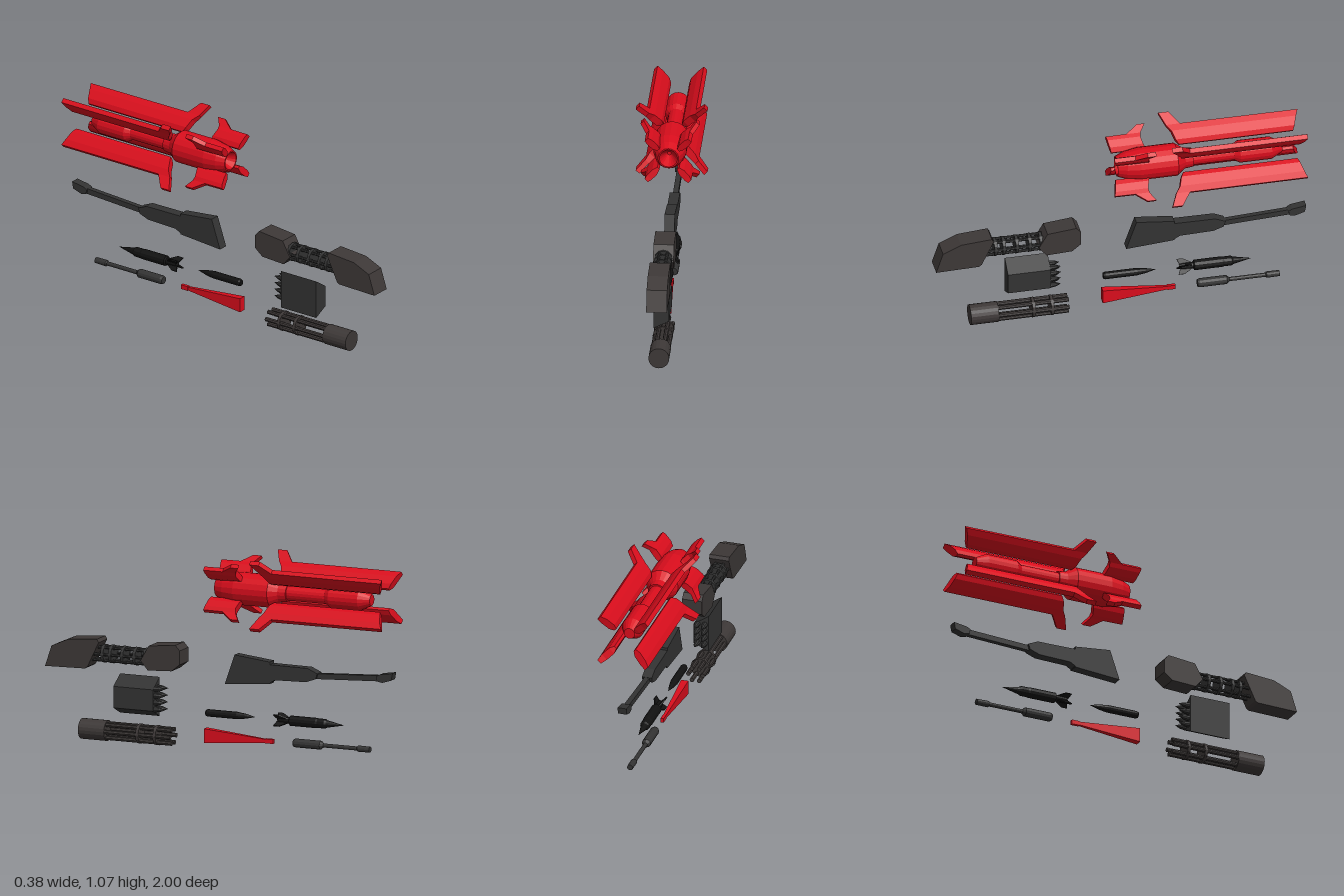
import * as THREE from 'three';

const mat = (color) => new THREE.MeshStandardMaterial({ color, flatShading: true, side: THREE.DoubleSide });
const red = mat(0xd90d1c), grey = mat(0x333333), warm = mat(0x3d3837), black = mat(0x111111);

function add(parent, name, geometry, material) {
  const mesh = new THREE.Mesh(geometry, material);
  mesh.name = name;
  parent.add(mesh);
  return mesh;
}

function group(parent, name, y = 0) {
  const g = new THREE.Group();
  g.name = name;
  g.position.y = y;
  parent.add(g);
  return g;
}

// Turned part along z from [z, radius] pairs with z ascending
function turned(profile, sides = 16) {
  const pts = profile.map(([z, r]) => new THREE.Vector2(r, z));
  return new THREE.LatheGeometry(pts, sides).rotateX(Math.PI / 2);
}

// Side profile of [z, y] pairs, given thickness across x
function slab(profile, width) {
  const shape = new THREE.Shape(profile.map(([z, y]) => new THREE.Vector2(-z, y)));
  return new THREE.ExtrudeGeometry(shape, { depth: width, bevelEnabled: false })
    .translate(0, 0, -width / 2).rotateY(Math.PI / 2);
}

// Closed skin over rings of [x, y, z] corners
function loft(rings) {
  const n = rings[0].length, last = rings.length - 1, index = [];
  for (let s = 0; s < last; s++) {
    for (let i = 0; i < n; i++) {
      const j = (i + 1) % n, a = s * n, b = a + n;
      index.push(a + i, a + j, b + j, a + i, b + j, b + i);
    }
  }
  for (let i = 1; i < n - 1; i++) {
    index.push(0, i + 1, i, last * n, last * n + i, last * n + i + 1);
  }
  const g = new THREE.BufferGeometry();
  g.setAttribute('position', new THREE.Float32BufferAttribute(rings.flat(2), 3));
  g.setIndex(index);
  const flat = g.toNonIndexed();
  flat.computeVertexNormals();
  return flat;
}

// Fin rising along y from sections [radius, half thickness, back z, front z]
const fin = (sections) => loft(sections.map(([r, h, z0, z1]) =>
  [[-h, r, z1], [h, r, z1], [h, r, z0], [-h, r, z0]]));

// Tapered bar along z from sections [z, half width, half height]
const bar = (sections) => loft(sections.map(([z, w, h]) =>
  [[w, -h, z], [w, h, z], [-w, h, z], [-w, -h, z]]));

// Ring of parallel barrels held by thin discs
function barrels(parent, count, ringR, rodR, z0, z1, discs, discR, material) {
  for (let i = 0; i < count; i++) {
    const a = (i / count) * Math.PI * 2;
    add(parent, 'barrel', turned([[z0, 0], [z0, rodR], [z1, rodR], [z1, 0]], 8), material)
      .position.set(Math.cos(a) * ringR, Math.sin(a) * ringR, 0);
  }
  for (const z of discs) {
    add(parent, 'barrelClamp', turned([[z - 0.008, 0], [z - 0.008, discR], [z + 0.008, discR], [z + 0.008, 0]], 12), material);
  }
}

function buildLargeMissile(root) {
  const g = group(root, 'largeMissile', 0.884);
  add(g, 'missileBody', turned([
    [-0.87, 0], [-0.87, 0.03], [-0.81, 0.06], [-0.64, 0.06], [-0.61, 0.042], [-0.39, 0.042],
    [-0.39, 0.05], [-0.345, 0.055], [-0.3, 0.088], [-0.1, 0.088], [-0.03, 0.075],
    [0.02, 0.055], [0.02, 0.048], [-0.06, 0.01], [-0.06, 0],
  ], 18), red);
  const longFin = fin([
    [0.075, 0.008, -0.945, -0.33], [0.1, 0.02, -0.955, -0.315], [0.15, 0.02, -0.97, -0.3],
    [0.185, 0.013, -0.985, -0.275], [0.186, 0.013, -0.35, -0.275], [0.255, 0.013, -0.3, -0.245],
  ]);
  const tailFin = fin([
    [0.073, 0.008, -0.15, 0.035], [0.1, 0.018, -0.14, 0.04], [0.14, 0.018, -0.13, 0.047],
    [0.162, 0.012, -0.135, 0.052], [0.163, 0.012, -0.135, -0.06], [0.208, 0.012, -0.165, -0.12],
  ]);
  for (let i = 0; i < 4; i++) {
    const a = Math.PI / 4 + i * Math.PI / 2;
    add(g, 'longFin', longFin, red).rotation.z = a;
    add(g, 'tailFin', tailFin, red).rotation.z = a;
  }
}

function buildRotaryGun(root) {
  const g = group(root, 'rotaryGun');
  add(g, 'rearHousing', slab([[1, 0.385], [0.963, 0.497], [0.866, 0.54], [0.7, 0.553],
    [0.69, 0.535], [0.755, 0.4], [0.77, 0.39]], 0.109), warm);
  add(g, 'frontHousing', slab([[0.405, 0.41], [0.447, 0.46], [0.4, 0.542], [0.245, 0.558],
    [0.22, 0.53], [0.22, 0.455], [0.267, 0.417]], 0.109), warm);
  const b = group(g, 'barrelCluster', 0.47);
  barrels(b, 6, 0.04, 0.008, 0.38, 0.76, [0.43, 0.49, 0.56, 0.63, 0.675], 0.05, grey);
}

function buildRifle(root) {
  const g = group(root, 'rifle');
  add(g, 'stock', slab([[-0.03, 0.37], [-0.085, 0.53], [-0.29, 0.508], [-0.29, 0.39]], 0.054), grey);
  add(g, 'receiver', slab([[-0.28, 0.39], [-0.28, 0.494], [-0.51, 0.492], [-0.565, 0.468],
    [-0.555, 0.438], [-0.5, 0.418], [-0.32, 0.413]], 0.054), grey);
  add(g, 'rifleBarrel', slab([[-0.54, 0.436], [-0.54, 0.465], [-0.92, 0.485], [-0.92, 0.455]], 0.028), grey);
  add(g, 'muzzle', slab([[-0.91, 0.456], [-0.905, 0.482], [-0.925, 0.493], [-1, 0.505],
    [-0.993, 0.467], [-0.94, 0.45]], 0.048), grey);
}

function buildMissilePod(root) {
  const g = group(root, 'missilePod');
  const shape = new THREE.Shape([[-0.042, 0.15], [0.041, 0.19], [0.041, 0.305], [-0.042, 0.36]]
    .map(([x, y]) => new THREE.Vector2(x, y)));
  add(g, 'podCasing', new THREE.ExtrudeGeometry(shape, { depth: 0.23, bevelEnabled: false })
    .translate(0, 0, 0.38), grey);
  const tip = turned([[0.32, 0], [0.35, 0.012], [0.38, 0.016]], 8);
  for (const x of [-0.02, 0.02]) {
    for (let i = 0; i < 4; i++) add(g, 'podWarhead', tip, grey).position.set(x, 0.197 + i * 0.037, 0);
  }
}

function buildGatling(root) {
  const g = group(root, 'gatling', 0.056);
  add(g, 'drum', turned([[0.66, 0], [0.66, 0.055], [0.81, 0.055], [0.81, 0]], 20), warm);
  barrels(g, 6, 0.04, 0.012, 0.28, 0.67, [0.37, 0.47], 0.054, warm);
}

function buildSmallParts(root) {
  // Slim shell
  const shell = group(root, 'shell', 0.2);
  add(shell, 'shellBody', turned([[-0.195, 0], [-0.14, 0.013], [-0.09, 0.02], [0.08, 0.02], [0.09, 0.016], [0.09, 0]], 12), black);

  // Small finned missile
  const small = group(root, 'smallMissile', 0.198);
  add(small, 'smallMissileBody', turned([[-0.71, 0], [-0.61, 0.02], [-0.6, 0.026], [-0.56, 0.026], [-0.55, 0.028],
    [-0.4, 0.028], [-0.395, 0.018], [-0.33, 0.016], [-0.32, 0]], 12), black);
  const smallFin = fin([[0.01, 0.004, -0.4, -0.325], [0.042, 0.004, -0.345, -0.312]]);
  for (let i = 0; i < 4; i++) add(small, 'smallFin', smallFin, black).rotation.z = Math.PI / 4 + i * Math.PI / 2;

  // Single thin barrel with sleeve and tip
  const rod = group(root, 'thinBarrel', 0.081);
  add(rod, 'thinBarrelBody', turned([[-0.86, 0], [-0.86, 0.016], [-0.79, 0.017], [-0.785, 0.011], [-0.59, 0.011],
    [-0.575, 0.024], [-0.43, 0.024], [-0.418, 0.02], [-0.418, 0]], 12), grey);

  // Tapered red blade
  const blade = group(root, 'taperedBlade', 0.078);
  add(blade, 'bladeBody', bar([[-0.27, 0.007, 0.008], [0.095, 0.02, 0.039]]), red);
  add(blade, 'bladeTip', bar([[-0.3, 0.009, 0.012], [-0.255, 0.009, 0.012]]), red);
}

export function createModel() {
  const root = new THREE.Group();
  root.name = 'weaponSet';
  buildLargeMissile(root);
  buildRotaryGun(root);
  buildRifle(root);
  buildMissilePod(root);
  buildGatling(root);
  buildSmallParts(root);
  return root;
}
